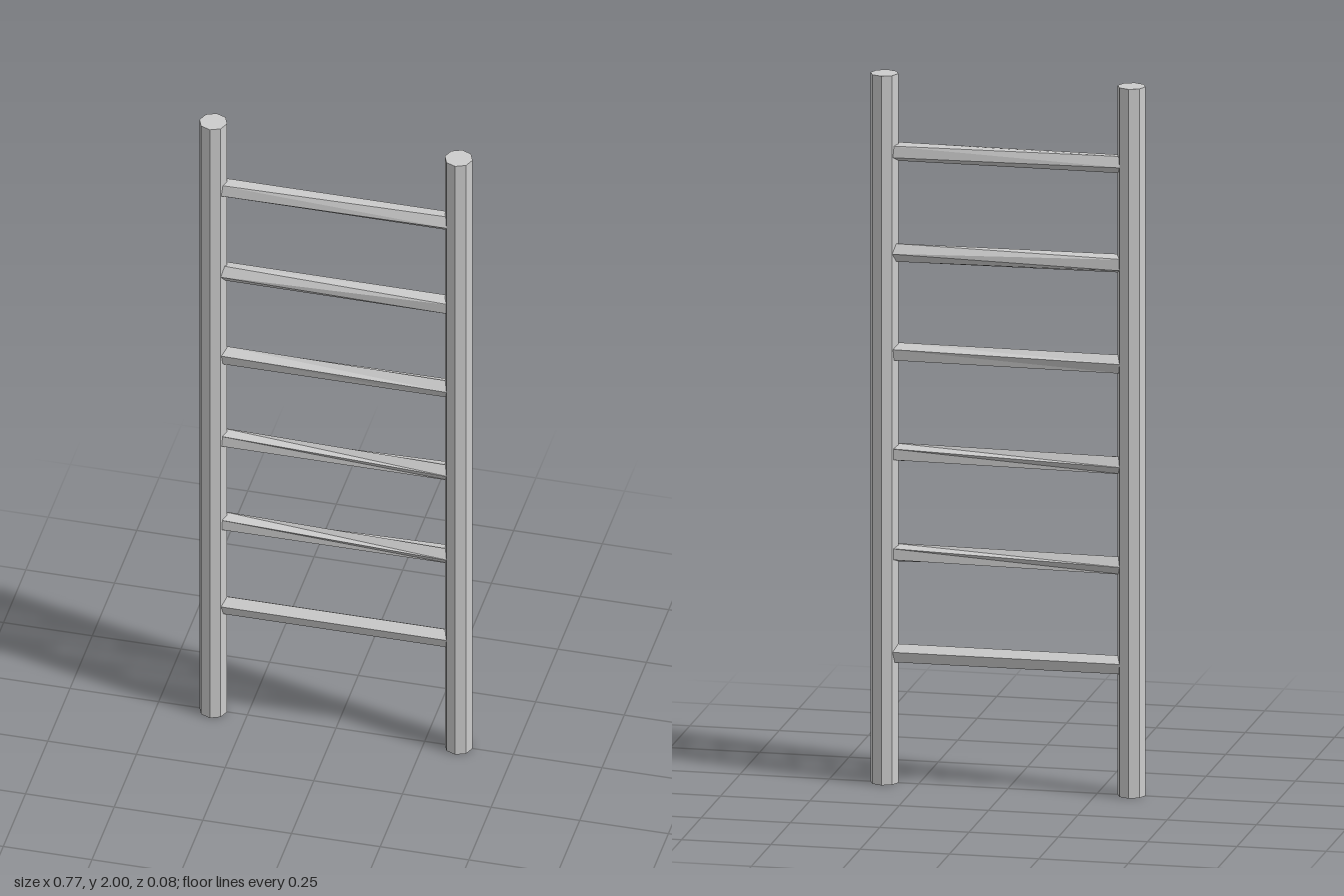
import * as THREE from 'three';

const material = new THREE.MeshStandardMaterial({ color: 0xcccccc, flatShading: true });

// Five-sided rung along x, its ends turned by the angles a (right) and b (left)
function rungGeometry(a, b) {
  const g = new THREE.CylinderGeometry(0.027, 0.027, 0.68, 5, 1, false, Math.PI / 2);
  const p = g.attributes.position;
  const v = new THREE.Vector3();
  const axis = new THREE.Vector3(0, 1, 0);
  for (let i = 0; i < p.count; i++) {
    v.fromBufferAttribute(p, i).applyAxisAngle(axis, p.getY(i) > 0 ? a : b);
    p.setXYZ(i, v.x, v.y, v.z);
  }
  g.rotateZ(Math.PI / 2);
  g.computeVertexNormals();
  return g;
}

export function createModel() {
  const group = new THREE.Group();

  // Octagonal side rails
  for (const side of [1, -1]) {
    const rail = new THREE.Mesh(new THREE.CylinderGeometry(0.039, 0.039, 2, 8), material);
    rail.name = side > 0 ? 'leftRail' : 'rightRail';
    rail.position.set(side * 0.346, 1, 0);
    group.add(rail);
  }

  // Slightly twisted rungs: end angles in fractions of a side
  const twists = [[0, 0], [0.3, -0.3], [0.35, -0.25], [0.1, -0.15], [-0.3, 0.25], [0.42, 0.62]];
  twists.forEach(([a, b], i) => {
    const step = (Math.PI * 2) / 5;
    const rung = new THREE.Mesh(rungGeometry(a * step, b * step), material);
    rung.name = `rung${i + 1}`;
    rung.position.y = 0.365 + i * 0.283;
    group.add(rung);
  });

  return group;
}
